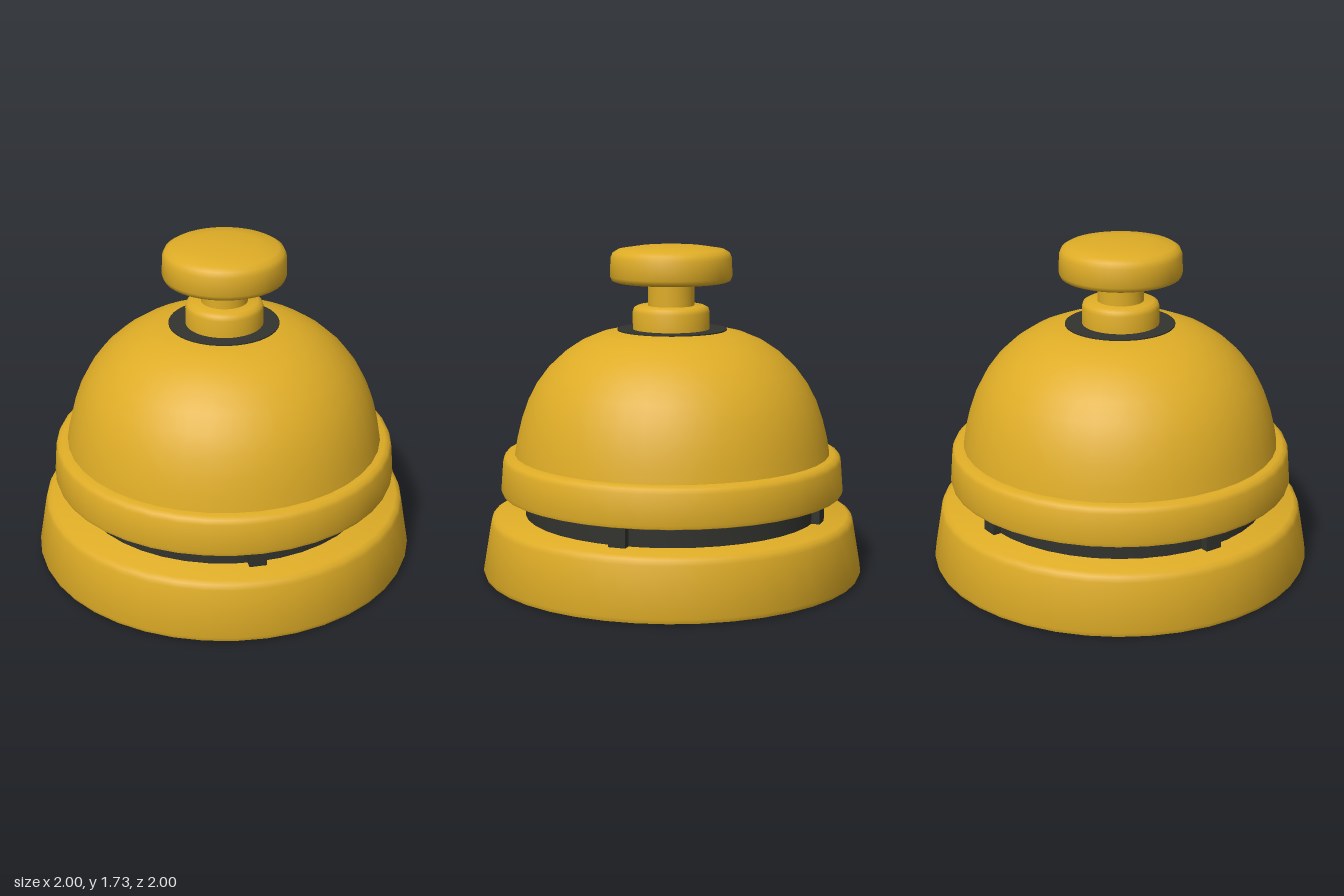
import * as THREE from 'three';
import { toCreasedNormals } from 'three/addons/utils/BufferGeometryUtils.js';

const SEGMENTS = 40;

export function createModel() {
  const group = new THREE.Group();
  const brass = new THREE.MeshStandardMaterial({ color: 0xdeac26 });
  brass.name = 'brass';
  const dark = new THREE.MeshStandardMaterial({ color: 0x32322e });
  dark.name = 'darkMetal';

  // Turned part from a profile of [radius, height] running bottom to top
  function turned(name, profile, material, crease = 0.9) {
    const points = profile.map(([r, y]) => new THREE.Vector2(r, y));
    const geometry = toCreasedNormals(new THREE.LatheGeometry(points, SEGMENTS), crease);
    const mesh = new THREE.Mesh(geometry, material);
    mesh.name = name;
    group.add(mesh);
    return mesh;
  }

  // Tapered foot
  turned('base', [
    [0, 0.005], [0.97, 0.005], [0.992, 0.012], [1, 0.035],
    [0.957, 0.285], [0.948, 0.312], [0.925, 0.325], [0, 0.325],
  ], brass);

  // Recessed band with four posts in the gap
  turned('gapBand', [[0.775, 0.32], [0.775, 0.45]], dark);
  for (let i = 0; i < 4; i++) {
    const angle = -0.32 + i * Math.PI / 2;
    const post = new THREE.Mesh(new THREE.BoxGeometry(0.09, 0.13, 0.07), dark);
    post.name = 'gapPost';
    post.position.set(Math.sin(angle) * 0.78, 0.385, Math.cos(angle) * 0.78);
    post.rotation.y = angle;
    group.add(post);
  }

  // Flared rim of the bell
  turned('bellRim', [
    [0, 0.44], [0.875, 0.44], [0.895, 0.447], [0.9, 0.465],
    [0.888, 0.615], [0.878, 0.637], [0.855, 0.648], [0.8, 0.65],
  ], brass);

  // Bell dome
  turned('bellDome', [
    [0.828, 0.64], [0.815, 0.72], [0.79, 0.82], [0.755, 0.92], [0.708, 1.01],
    [0.645, 1.095], [0.565, 1.17], [0.475, 1.23], [0.38, 1.27], [0.285, 1.29], [0, 1.292],
  ], brass);

  // Dark washer around the plunger
  turned('washer', [[0.285, 1.288], [0.285, 1.296], [0, 1.296]], dark);

  // Plunger collar, stem and push button
  turned('collar', [
    [0.2, 1.29], [0.2, 1.385], [0.193, 1.407], [0.172, 1.418], [0, 1.418],
  ], brass).position.z = 0.005;
  turned('stem', [[0.12, 1.41], [0.12, 1.55]], brass).position.z = 0.005;
  turned('button', [
    [0, 1.54], [0.285, 1.54], [0.308, 1.548], [0.317, 1.57], [0.314, 1.665],
    [0.302, 1.692], [0.275, 1.708], [0.17, 1.724], [0, 1.732],
  ], brass).position.z = 0.005;

  return group;
}
